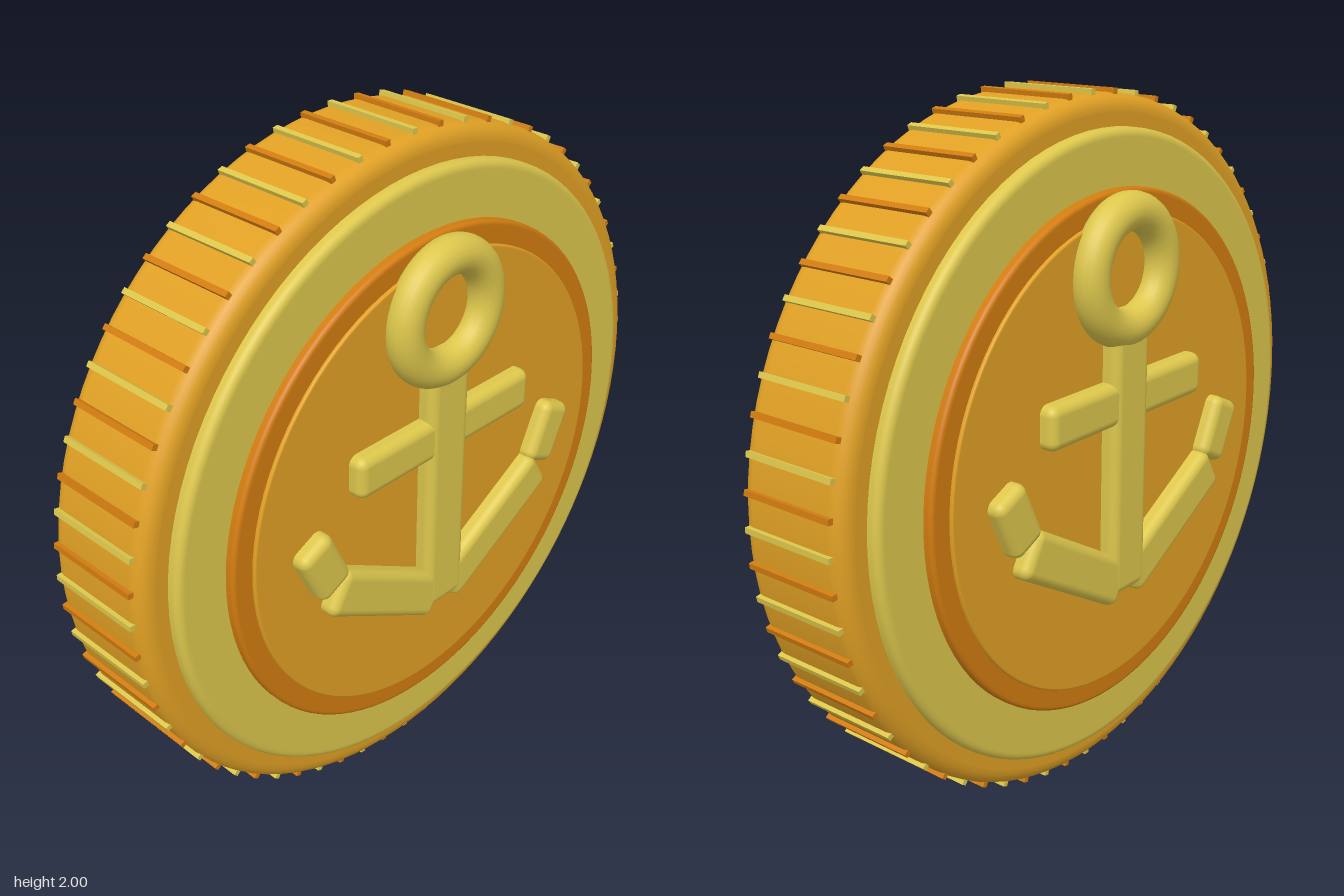
import * as THREE from 'three';
import { RoundedBoxGeometry } from 'three/addons/geometries/RoundedBoxGeometry.js';

const material = (name, color) => {
  const m = new THREE.MeshStandardMaterial({ color });
  m.name = name;
  return m;
};

export function createModel() {
  const gold = material('gold', 0xe0a024);
  const paleGold = material('pale gold', 0xdcc64c);
  const orange = material('dark orange', 0xd27c10);

  const model = new THREE.Group();
  model.name = 'anchorCoin';
  const coin = new THREE.Group();
  coin.name = 'coin';
  coin.position.y = 1;
  model.add(coin);

  const add = (parent, name, geometry, mat, x = 0, y = 0, z = 0, turn = 0) => {
    const mesh = new THREE.Mesh(geometry, mat);
    mesh.name = name;
    mesh.position.set(x, y, z);
    mesh.rotation.z = turn;
    parent.add(mesh);
    return mesh;
  };

  // Disc with rounded rims, axis along z
  const disc = (name, radius, half, bevel, mat) => {
    const pts = [new THREE.Vector2(0, -half), new THREE.Vector2(radius - bevel - 0.004, -half)];
    for (const side of [-1, 1]) {
      for (let i = 0; i <= 6; i++) {
        const a = (side < 0 ? i - 6 : i) / 6 * Math.PI / 2;
        pts.push(new THREE.Vector2(
          radius - bevel + bevel * Math.cos(a),
          side * (half - bevel) + bevel * Math.sin(a)));
      }
    }
    pts.push(new THREE.Vector2(radius - bevel - 0.004, half), new THREE.Vector2(0, half));
    add(coin, name, new THREE.LatheGeometry(pts, 96).rotateX(Math.PI / 2), mat);
  };

  // Stepped discs, each showing on both faces
  disc('body', 0.988, 0.178, 0.045, gold);
  disc('outerBand', 0.902, 0.213, 0.022, paleGold);
  disc('innerRing', 0.747, 0.24, 0.012, orange);
  disc('centreField', 0.683, 0.25, 0.006, gold);

  // Reeded edge of alternating ridges
  const ridge = new THREE.BoxGeometry(0.018, 0.016, 0.3);
  const ridgeCount = 64;
  for (let i = 0; i < ridgeCount; i++) {
    const a = i / ridgeCount * Math.PI * 2;
    add(coin, 'edgeRidge', ridge, i % 2 ? orange : paleGold,
      Math.cos(a) * 0.991, Math.sin(a) * 0.991, 0, a);
  }

  // Raised anchor, repeated on both faces
  const bar = (w, h, d = 0.08) => new RoundedBoxGeometry(w, h, d, 4, 0.028);
  for (const face of [1, -1]) {
    const anchor = new THREE.Group();
    anchor.name = face > 0 ? 'frontAnchor' : 'backAnchor';
    anchor.rotation.y = face > 0 ? 0 : Math.PI;
    coin.add(anchor);

    add(anchor, 'anchorRing', new THREE.TorusGeometry(0.158, 0.054, 20, 48), paleGold, 0, 0.535, 0.266);
    add(anchor, 'shank', bar(0.154, 0.83), paleGold, 0, 0.015, 0.261);
    add(anchor, 'crossbar', bar(0.69, 0.125), paleGold, 0, 0.173, 0.257);
    for (const s of [1, -1]) {
      add(anchor, 'arm', bar(0.47, 0.14), paleGold, s * 0.228, -0.258, 0.26, s * 0.524);
      add(anchor, 'fluke', bar(0.12, 0.19), paleGold, s * 0.467, -0.038, 0.257, -s * 0.44);
    }
  }

  return model;
}
